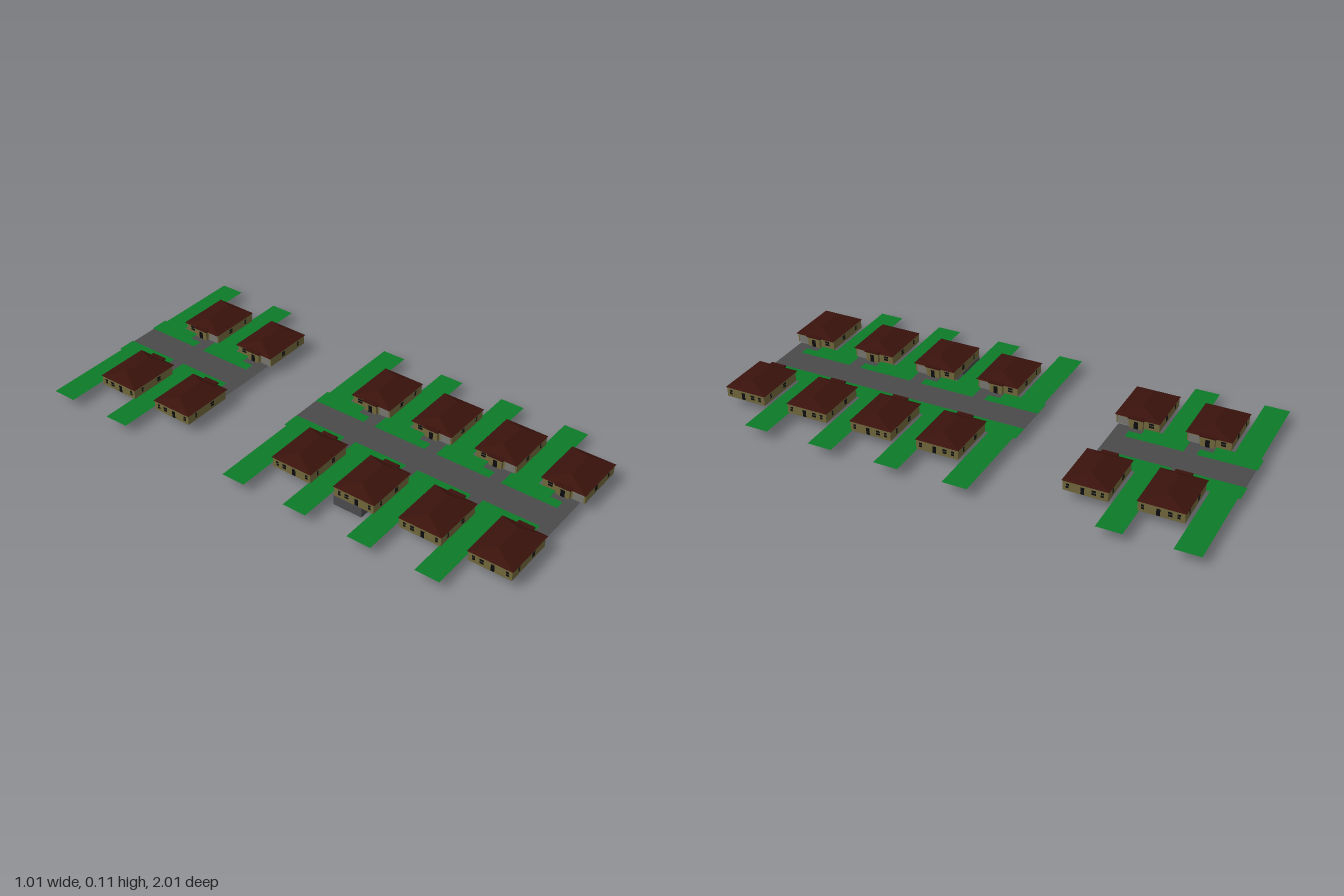
import * as THREE from 'three';

const mat = (color, side = THREE.FrontSide) =>
  new THREE.MeshStandardMaterial({ color, side, flatShading: true });
const grass = mat(0x0c7a28, THREE.DoubleSide);
const asphalt = mat(0x4a4a4a, THREE.DoubleSide);
const concrete = mat(0x4a484c);
const wallMat = mat(0x70663a, THREE.DoubleSide);
const roofMat = mat(0x3a120c, THREE.DoubleSide);
const dark = mat(0x0c0c10);
const doorGrey = mat(0x77756e);

const GROUND = 0.04, EAVE = 0.08, RIDGE = 0.108;

function add(parent, name, geometry, material, x = 0, y = 0, z = 0) {
  const mesh = new THREE.Mesh(geometry, material);
  mesh.name = name;
  mesh.position.set(x, y, z);
  parent.add(mesh);
  return mesh;
}

// Box given by its limits on each axis
function block(parent, name, material, x0, x1, y0, y1, z0, z1) {
  return add(parent, name, new THREE.BoxGeometry(x1 - x0, y1 - y0, z1 - z0), material,
    (x0 + x1) / 2, (y0 + y1) / 2, (z0 + z1) / 2);
}

// Flat ground patch given by its limits
function patch(parent, name, material, x0, x1, z0, z1, y) {
  const g = new THREE.PlaneGeometry(x1 - x0, z1 - z0).rotateX(-Math.PI / 2);
  return add(parent, name, g, material, (x0 + x1) / 2, y, (z0 + z1) / 2);
}

// Hipped roof: four eave corners and a ridge along x
function hipRoof(x0, x1, z0, z1, ridge0, ridge1) {
  const zm = (z0 + z1) / 2;
  const a = [x0, EAVE, z1], b = [x1, EAVE, z1], c = [x1, EAVE, z0], d = [x0, EAVE, z0];
  const r = [ridge0, RIDGE, zm], s = [ridge1, RIDGE, zm];
  const tris = [a, b, s, a, s, r, b, c, s, c, d, r, c, r, s, d, a, r];
  const g = new THREE.BufferGeometry();
  g.setAttribute('position', new THREE.Float32BufferAttribute(tris.flat(), 3));
  g.computeVertexNormals();
  return g;
}

// Open-bottomed ring of walls
function wallRing(x0, x1, z0, z1, t) {
  const rect = (P, i) => {
    const p = new P();
    p.moveTo(x0 + i, -z1 + i);
    p.lineTo(x1 - i, -z1 + i);
    p.lineTo(x1 - i, -z0 - i);
    p.lineTo(x0 + i, -z0 - i);
    p.closePath();
    return p;
  };
  const shape = rect(THREE.Shape, 0);
  shape.holes.push(rect(THREE.Path, t));
  return new THREE.ExtrudeGeometry(shape, { depth: EAVE - GROUND, bevelEnabled: false })
    .rotateX(-Math.PI / 2);
}

// House on the +x side of the road, its entrance facing -x
function makeHouse() {
  const house = new THREE.Group();
  house.name = 'house';
  const X0 = 0.14, X1 = 0.355, Z = 0.086, e = 0.001;

  add(house, 'walls', wallRing(X0, X1, -Z, Z, 0.003), wallMat, 0, GROUND, 0);
  add(house, 'roof', hipRoof(0.13, 0.358, -0.09, 0.09, 0.182, 0.308), roofMat);

  // Entrance bay with a small roof
  add(house, 'entranceBay', wallRing(0.127, X0, -0.025, 0.03, 0.002), wallMat, 0, GROUND, 0);
  block(house, 'entranceRoof', roofMat, 0.122, 0.15, EAVE, 0.086, -0.03, 0.035);
  block(house, 'frontDoor', dark, 0.127 - e, 0.128, GROUND, 0.07, -0.006, 0.011);

  // Garage door by the driveway
  block(house, 'garageDoor', doorGrey, X0 - e, X0 + e, GROUND, 0.071, 0.037, 0.08);

  // Two-pane windows
  for (const [lo, hi] of [[0.052, 0.0595], [0.0625, 0.07]]) {
    for (const side of [1, -1]) {
      for (const [x, w] of [[0.311, 0.009], [0.218, 0.018]]) {
        block(house, 'sideWindow', dark, x - w / 2, x + w / 2, lo, hi, side * Z - e, side * Z + e);
      }
    }
    for (const [z, w] of [[0.068, 0.011], [-0.032, 0.016], [-0.064, 0.011]]) {
      block(house, 'rearWindow', dark, X1 - e, X1 + e, lo, hi, z - w / 2, z + w / 2);
    }
    block(house, 'frontWindow', dark, X0 - e, X0 + e, lo, hi, -0.064, -0.045);
  }
  block(house, 'rearDoor', dark, X1 - e, X1 + e, GROUND + 0.002, 0.07, 0.004, 0.018);
  return house;
}

// Lawn strip and verge beside one house
function makeLawn() {
  const lawn = new THREE.Group();
  lawn.name = 'lawn';
  patch(lawn, 'lawnStrip', grass, 0.06, 0.505, -0.2, -0.1, GROUND + 0.001);
  patch(lawn, 'verge', grass, 0.06, 0.135, -0.21, -0.2, GROUND + 0.001);
  patch(lawn, 'frontYard', grass, 0.06, 0.14, -0.1, -0.03, GROUND + 0.001);
  patch(lawn, 'frontYardEnd', grass, 0.06, 0.1, -0.03, 0.02, GROUND + 0.001);
  return lawn;
}

export function createModel() {
  const model = new THREE.Group();
  model.name = 'street';

  // Two stretches of road with driveways
  for (const [z0, z1] of [[-1, -0.44], [-0.14, 0.98]]) {
    patch(model, 'road', asphalt, -0.135, 0.135, z0, z1, GROUND);
  }

  // Mirrored plots along both sides
  for (const z of [-0.795, -0.515, 0.07, 0.35, 0.63, 0.91]) {
    for (const side of [1, -1]) {
      const plot = new THREE.Group();
      plot.name = side > 0 ? 'leftPlot' : 'rightPlot';
      plot.add(makeHouse(), makeLawn());
      plot.position.z = z;
      plot.scale.x = side;
      model.add(plot);
    }
  }

  // Basement under one house
  block(model, 'basement', concrete, -0.357, -0.21, 0, GROUND, 0.262, 0.385);
  return model;
}
